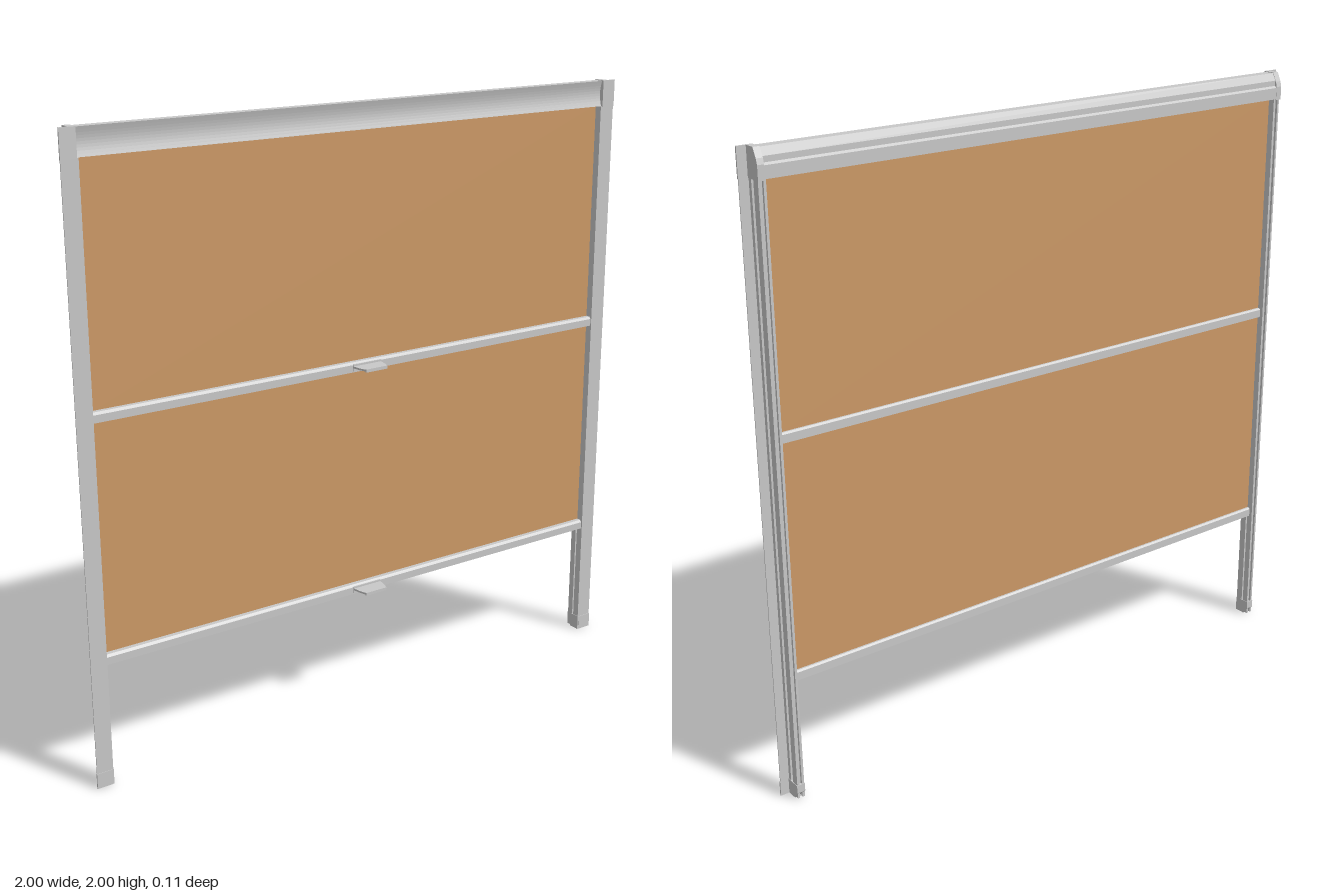
import * as THREE from 'three';

const metal = new THREE.MeshStandardMaterial({ color: 0xc8c8c8 });
metal.name = 'brushed grey';
const cloth = new THREE.MeshStandardMaterial({ color: 0xcc9966 });
cloth.name = 'tan fabric';

const outline = (pts) => new THREE.Shape(pts.map(([a, b]) => new THREE.Vector2(a, b)));

// Profile given as [z, y], swept along x from x0 to x1
function alongX(pts, x0, x1) {
  const g = new THREE.ExtrudeGeometry(outline(pts.map(([z, y]) => [-z, y])), { depth: x1 - x0, bevelEnabled: false });
  return g.rotateY(Math.PI / 2).translate(x0, 0, 0);
}

// Profile given as [x, z], swept upwards from y0 to y1
function alongY(pts, y0, y1) {
  const g = new THREE.ExtrudeGeometry(outline(pts.map(([x, z]) => [x, -z])), { depth: y1 - y0, bevelEnabled: false });
  return g.rotateX(-Math.PI / 2).translate(0, y0, 0);
}

export function createModel() {
  const model = new THREE.Group();
  model.name = 'rollerScreen';
  const add = (name, geometry, material = metal, parent = model) => {
    const mesh = new THREE.Mesh(geometry, material);
    mesh.name = name;
    parent.add(mesh);
    return mesh;
  };
  const slab = (x0, x1, y0, y1, z0, z1) =>
    new THREE.BoxGeometry(x1 - x0, y1 - y0, z1 - z0).translate((x0 + x1) / 2, (y0 + y1) / 2, (z0 + z1) / 2);

  // Top cassette: gently hollowed front, sloping back
  const front = [];
  for (let i = 0; i <= 10; i++) {
    const t = i / 10;
    front.push([-0.002 - 0.008 * Math.sin(Math.PI * t), 1.915 + 0.083 * t]);
  }
  add('cassette', alongX([...front, [-0.035, 1.998], [-0.047, 1.975], [-0.047, 1.958],
    [-0.054, 1.952], [-0.054, 1.915]], -0.952, 0.952));

  // Side rails with outer groove and inner fabric slot, end caps and feet
  const railProfile = [[0.945, 0.003], [0.999, 0.003], [0.999, 0], [0.969, 0], [0.969, -0.013],
    [0.961, -0.013], [0.961, -0.025], [0.969, -0.025], [0.969, -0.05], [0.962, -0.05], [0.962, -0.042],
    [0.953, -0.042], [0.953, -0.05], [0.945, -0.05], [0.945, -0.028], [0.954, -0.028],
    [0.954, -0.022], [0.945, -0.022]];
  for (const s of [-1, 1]) {
    const side = s > 0 ? 'left' : 'right';
    const span = (a, b) => (s > 0 ? [a, b] : [-b, -a]);
    add(side + 'Rail', alongY(railProfile.map(([x, z]) => [s * x, z]), 0.004, 1.915));
    // Cap of the cassette
    add(side + 'Cap', alongX([[0.004, 1.912], [0.004, 2], [-0.036, 2], [-0.05, 1.972],
      [-0.055, 1.955], [-0.055, 1.912]], ...span(0.95, 0.971)));
    add(side + 'CapFlange', slab(...span(0.95, 1), 1.912, 2, 0, 0.005));
    // Foot with a cut back corner
    add(side + 'Foot', alongX([[0.004, 0], [0.004, 0.05], [-0.052, 0.05], [-0.052, 0.024],
      [-0.034, 0]], ...span(0.944, 0.971)));
    add(side + 'FootFlange', slab(...span(0.948, 1), 0, 0.05, 0, 0.005));
  }

  // Fabric panels
  add('upperFabric', slab(-0.95, 0.95, 1.185, 1.92, -0.027, -0.023), cloth);
  add('lowerFabric', slab(-0.95, 0.95, 0.425, 1.165, -0.027, -0.023), cloth);

  // Cross bars, each with a tapered pull tab
  for (const [name, y] of [['middleBar', 1.16], ['bottomBar', 0.4]]) {
    const bar = new THREE.Group();
    bar.name = name;
    bar.position.y = y;
    model.add(bar);
    add(name + 'Profile', alongX([[-0.001, 0], [-0.001, 0.024], [-0.008, 0.031], [-0.033, 0.031],
      [-0.038, 0.026], [-0.038, 0], [-0.033, 0], [-0.033, 0.012], [-0.006, 0.012], [-0.006, 0]],
      -0.946, 0.946), metal, bar);
    add('pullPlate', slab(-0.053, 0.053, 0.004, 0.026, -0.004, 0.001), metal, bar);
    add('pullTab', alongY([[-0.053, 0], [0.053, 0], [0.048, 0.03], [0.04, 0.055],
      [-0.04, 0.055], [-0.048, 0.03]], 0.014, 0.02), metal, bar);
    add('pullLip', slab(-0.04, 0.04, 0.011, 0.021, 0.049, 0.055), metal, bar);
  }
  return model;
}
